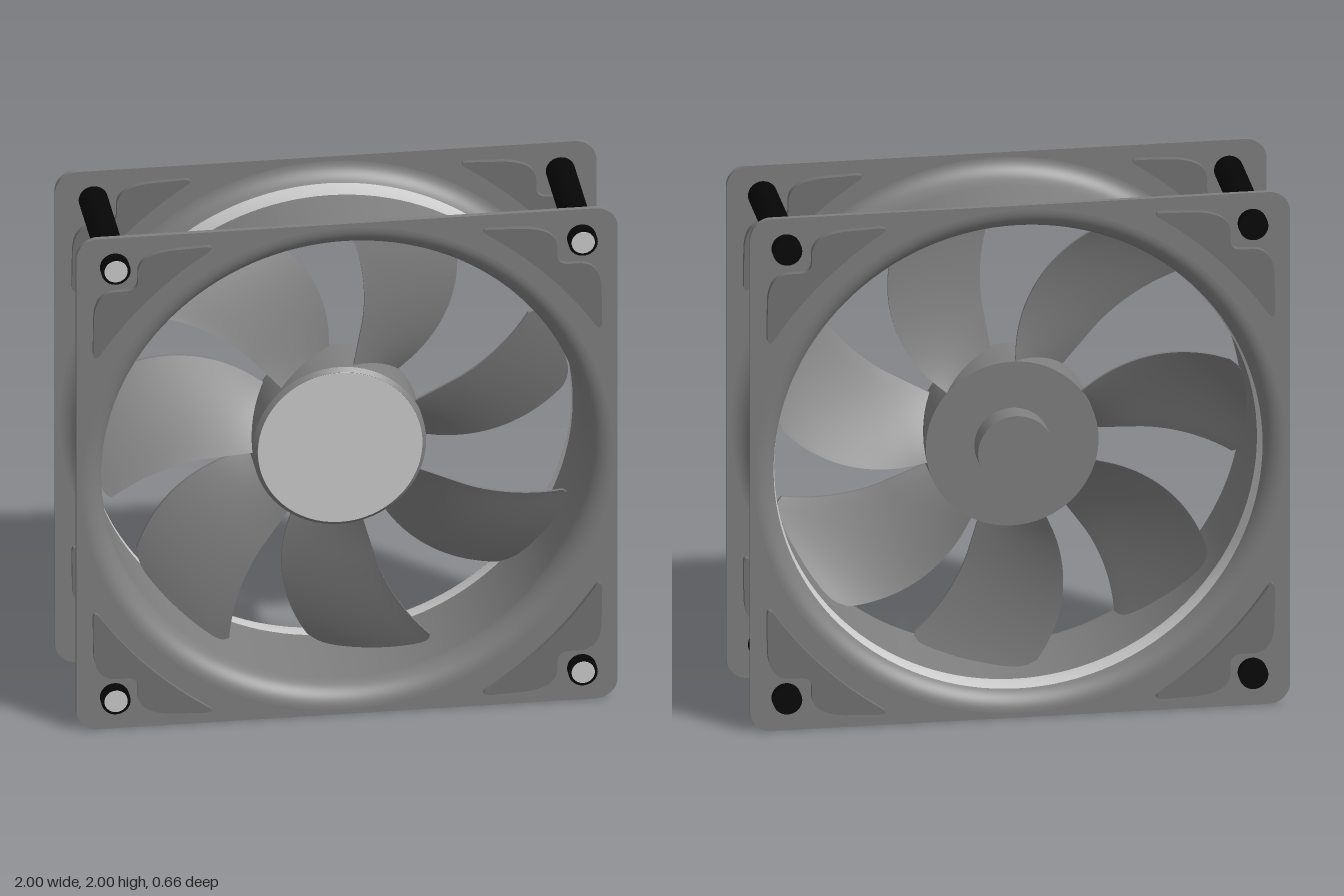
import * as THREE from 'three';

const material = (color, side = THREE.FrontSide) => new THREE.MeshStandardMaterial({ color, side });
const darkGrey = material(0x7f7f7f);
const padGrey = material(0x727272);
const lightGrey = material(0xcccccc);
const black = material(0x060606);
const ductGrey = material(0x7f7f7f, THREE.DoubleSide);
const bandGrey = material(0xcccccc, THREE.DoubleSide);

function add(parent, name, geometry, mat = darkGrey) {
  const mesh = new THREE.Mesh(geometry, mat);
  mesh.name = name;
  parent.add(mesh);
  return mesh;
}

// Lathe turned about the z axis; points are [radius, z]
function turned(points) {
  const g = new THREE.LatheGeometry(points.map(([r, z]) => new THREE.Vector2(r, z)), 128);
  return g.rotateX(Math.PI / 2);
}

function extruded(shape, z0, z1) {
  return new THREE.ExtrudeGeometry(shape, { depth: z1 - z0, bevelEnabled: false, curveSegments: 32 }).translate(0, 0, z0);
}

// Cylinder along z from z0 to z1
function cylinder(r0, r1, z0, z1, sides = 64) {
  return new THREE.CylinderGeometry(r1, r0, z1 - z0, sides).rotateX(Math.PI / 2).translate(0, 0, (z0 + z1) / 2);
}

const BORE = 0.897, MOUTH = 0.982;

// Rounded flare from the bore at zIn to the face of a flange at zOut
function flare(zIn, zOut) {
  const points = [];
  for (let i = 0; i <= 14; i++) {
    const a = (i / 14) * Math.PI / 2;
    points.push([MOUTH - (MOUTH - BORE) * Math.cos(a), zIn + (zOut - zIn) * Math.sin(a)]);
  }
  return points;
}

// Square flange with rounded corners and a round opening
function flangeShape() {
  const s = new THREE.Shape(), r = 0.08, c = 1 - r;
  s.absarc(c, c, r, 0, Math.PI / 2);
  s.absarc(-c, c, r, Math.PI / 2, Math.PI);
  s.absarc(-c, -c, r, Math.PI, Math.PI * 1.5);
  s.absarc(c, -c, r, Math.PI * 1.5, Math.PI * 2);
  s.closePath();
  s.holes.push(new THREE.Path().absarc(0, 0, MOUTH, 0, Math.PI * 2, true));
  return s;
}

// Corner pad, notched around the screw and concave towards the opening
function padShape(sx, sy) {
  const s = new THREE.Shape();
  const line = (x, y) => s.lineTo(x * sx, y * sy);
  const bend = (cx, cy, x, y) => s.quadraticCurveTo(cx * sx, cy * sy, x * sx, y * sy);
  s.moveTo(0.52 * sx, 0.925 * sy);
  bend(0.48, 0.95, 0.53, 0.95);
  line(0.65, 0.945);
  bend(0.775, 0.935, 0.775, 0.86);
  line(0.775, 0.83);
  bend(0.775, 0.79, 0.82, 0.79);
  line(0.86, 0.79);
  bend(0.935, 0.785, 0.938, 0.68);
  line(0.94, 0.55);
  bend(0.94, 0.505, 0.915, 0.535);
  bend(0.76, 0.765, 0.52, 0.925);
  return s;
}

// Swept blade: a thin box bent between two edge curves
function bladeGeometry() {
  const g = new THREE.BoxGeometry(1, 1, 1, 24, 24, 1);
  const p = g.attributes.position;
  const root = 0.29;
  for (let i = 0; i < p.count; i++) {
    const u = 0.5 - p.getX(i), v = p.getY(i) + 0.5, side = p.getZ(i);
    const tip = 0.886 - 0.03 * Math.pow(Math.abs(2 * u - 1), 10);
    const r = root + v * (tip - root);
    const lead = 28.7 + 33 * Math.pow(Math.max(0, r - 0.5), 1.5);
    const trail = -10.5 + 56 * Math.pow(Math.max(0, r - 0.38), 1.6);
    const a = THREE.MathUtils.degToRad(trail + u * (lead - trail));
    const z = -0.09 + u * (0.16 + 0.03 * v) + 0.005 * Math.sin(Math.PI * u);
    p.setXYZ(i, r * Math.cos(a), r * Math.sin(a), z + side * 0.012);
  }
  g.computeVertexNormals();
  return g;
}

export function createModel() {
  const model = new THREE.Group();
  model.name = 'coolingFan';
  const fan = new THREE.Group();
  fan.name = 'fanBody';
  fan.position.y = 1;
  model.add(fan);

  // Duct with a flare at each end and a pale band near the back
  add(fan, 'frontDuct', turned([[BORE, -0.16], ...flare(0.2, 0.29)]), ductGrey);
  add(fan, 'ductBand', turned([[BORE, -0.16], [BORE, -0.2], [0.906, -0.24]]), bandGrey);
  add(fan, 'backFlare', turned(flare(-0.2, -0.29).filter(([, z]) => z < -0.235)), ductGrey);

  // Front and back flanges with corner pads
  for (const sz of [1, -1]) {
    const label = sz > 0 ? 'front' : 'back';
    const z = 0.28 * sz;
    add(fan, label + 'Flange', extruded(flangeShape(), z - 0.01, z + 0.01));
    for (const sx of [1, -1]) for (const sy of [1, -1]) {
      add(fan, label + 'CornerPad', extruded(padShape(sx, sy), z - 0.035, z + 0.03), padGrey);
    }
  }

  // Corner screws with pale front ends
  for (const sx of [1, -1]) for (const sy of [1, -1]) {
    const screw = new THREE.Group();
    screw.name = 'cornerScrew';
    screw.position.set(0.863 * sx + 0.004, 0.877 * sy + 0.007, 0);
    fan.add(screw);
    add(screw, 'screwShaft', cylinder(0.054, 0.054, -0.33, 0.33, 32), black);
    add(screw, 'screwEnd', cylinder(0.043, 0.043, 0.313, 0.333, 32), lightGrey);
  }

  // Rotor: hub with a pale face, rear bearing boss and seven blades
  const rotor = new THREE.Group();
  rotor.name = 'rotor';
  fan.add(rotor);
  add(rotor, 'hub', cylinder(0.32, 0.32, -0.1, 0.095));
  add(rotor, 'hubBevel', cylinder(0.32, 0.305, 0.095, 0.11));
  add(rotor, 'hubFace', cylinder(0.304, 0.304, 0.1, 0.112), lightGrey);
  add(rotor, 'bearingBoss', cylinder(0.14, 0.14, -0.19, -0.1));
  const blade = bladeGeometry();
  for (let i = 0; i < 7; i++) {
    add(rotor, 'blade', blade).rotation.z = (i * Math.PI * 2) / 7;
  }
  return model;
}
